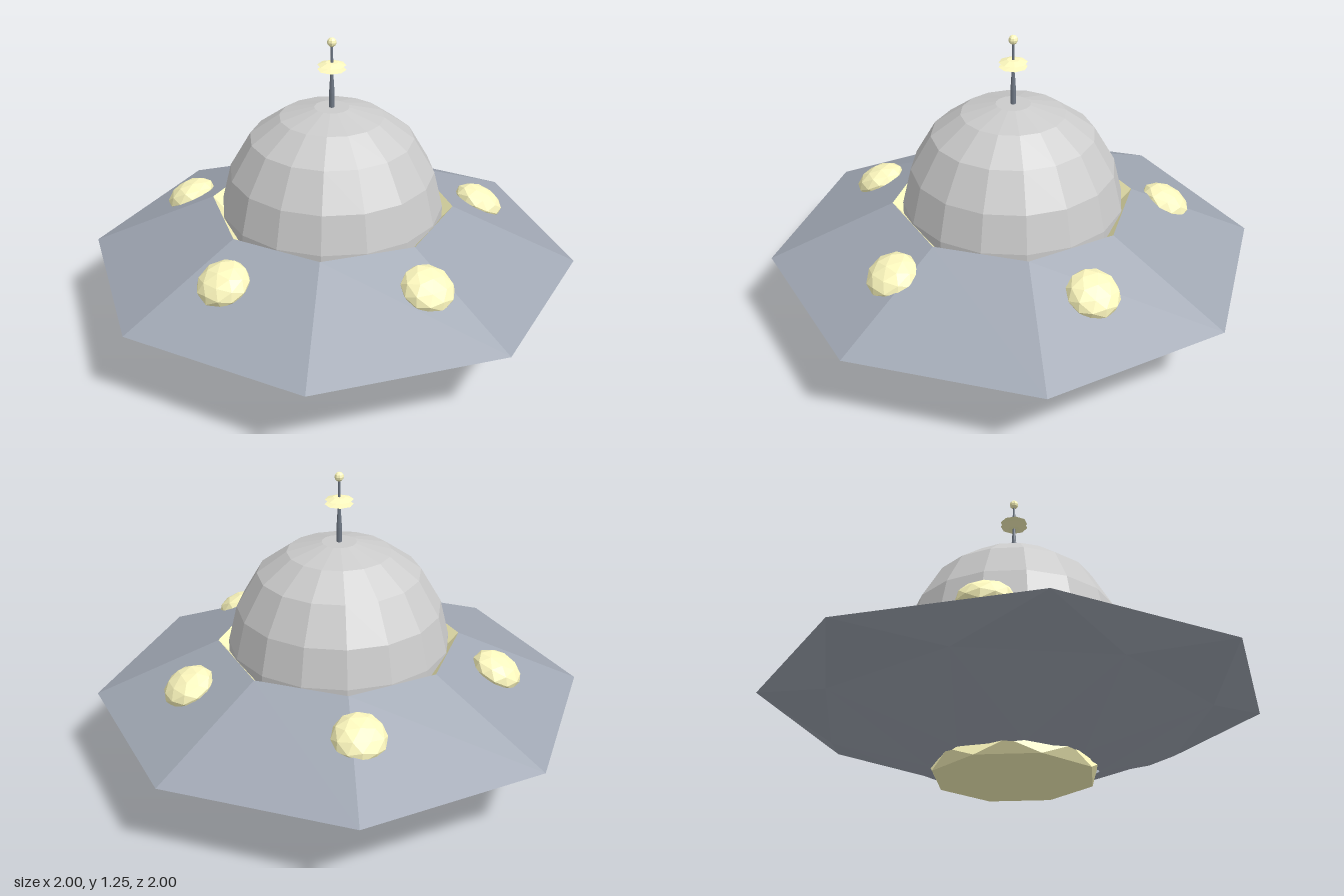
import * as THREE from 'three';

const TWIST = -0.1; // slight rotation shared by the octagonal rings
const STEP = Math.PI / 8;

const paint = (color) => new THREE.MeshStandardMaterial({ color, flatShading: true, side: THREE.DoubleSide });

// Joins octagonal rings [radius, height, angle], listed from bottom to top.
function skin(rings) {
  const pos = [], idx = [], n = 8;
  for (const [r, y, a] of rings)
    for (let i = 0; i < n; i++) {
      const t = a + (i / n) * Math.PI * 2;
      pos.push(r * Math.sin(t), y, r * Math.cos(t));
    }
  for (let k = 0; k < rings.length - 1; k++)
    for (let i = 0; i < n; i++) {
      const a = k * n + i, a2 = k * n + (i + 1) % n;
      idx.push(a, a2, a + n, a2, a2 + n, a + n);
    }
  const g = new THREE.BufferGeometry();
  g.setAttribute('position', new THREE.Float32BufferAttribute(pos, 3));
  g.setIndex(idx);
  g.computeVertexNormals();
  return g;
}

function lathe(points, sides) {
  return new THREE.LatheGeometry(points.map(([r, y]) => new THREE.Vector2(r, y)), sides, TWIST);
}

export function createModel() {
  const model = new THREE.Group();
  const slate = paint(0xa0a7b3), dark = paint(0x6f7885);
  const yellow = paint(0xfffabf), grey = paint(0xcccccc);

  function add(name, geometry, material, y = 0, parent = model) {
    const mesh = new THREE.Mesh(geometry, material);
    mesh.name = name;
    mesh.position.y = y;
    parent.add(mesh);
    return mesh;
  }

  // Saucer hull: faceted underside and sloping upper deck
  add('hullUnderside', skin([
    [0.335, 0.04, TWIST], [0.78, 0.22, TWIST + STEP], [1.005, 0.31, TWIST + 2 * STEP],
  ]), slate);
  add('hullDeck', lathe([[1.005, 0.31], [0.495, 0.54]], 8), slate);

  // Base plate with triangular side facets
  add('basePlate', skin([[0, 0, 0.1], [0.325, 0, 0.1], [0.325, 0.05, 0.1 + STEP]]), yellow);

  // Recessed collar and the dome sitting in it
  add('domeCollar', lathe([[0.42, 0.45], [0.495, 0.54]], 8), yellow);
  add('dome', lathe([
    [0.452, 0.45], [0.452, 0.54], [0.415, 0.69], [0.33, 0.835], [0.21, 0.922], [0.07, 0.96], [0, 0.96],
  ], 16), grey);

  // Five flattened lamps tilted to lie on the deck
  for (let i = 0; i < 5; i++) {
    const arm = new THREE.Group();
    arm.name = 'lampMount' + (i + 1);
    arm.rotation.y = 0.1 + (i / 5) * Math.PI * 2;
    model.add(arm);
    const lamp = add('lamp', new THREE.IcosahedronGeometry(0.106, 1), yellow, 0.455, arm);
    lamp.position.z = 0.65;
    lamp.scale.y = 0.6;
    lamp.rotation.x = 0.45;
  }

  // Antenna: stepped mast, two facing saucers and a tip
  const antenna = new THREE.Group();
  antenna.name = 'antenna';
  model.add(antenna);
  add('mast', lathe([[0.011, 0.94], [0.011, 1.02], [0.006, 1.1], [0.005, 1.23]], 8), dark, 0, antenna);
  add('lowerSaucer', lathe([[0, 1.107], [0.025, 1.107], [0.057, 1.117], [0, 1.122]], 8), yellow, 0, antenna);
  add('upperSaucer', lathe([[0, 1.127], [0.025, 1.129], [0.057, 1.136], [0.025, 1.146], [0, 1.146]], 8), yellow, 0, antenna);
  add('antennaTip', new THREE.SphereGeometry(0.019, 8, 6), yellow, 1.228, antenna);

  return model;
}
